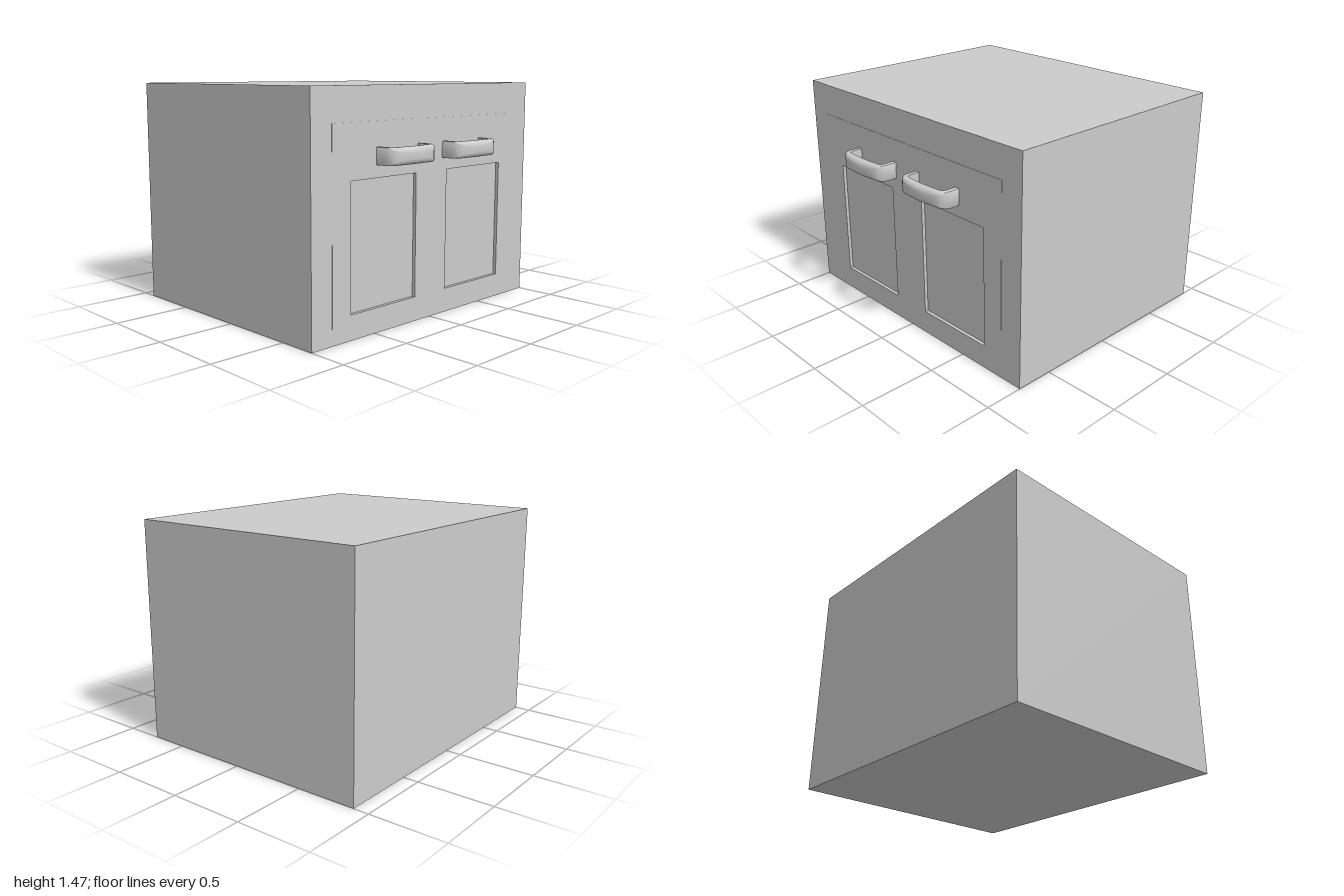
import * as THREE from 'three';
import { toCreasedNormals } from 'three/addons/utils/BufferGeometryUtils.js';

const W = { back: -0.9, recess: 0.728, face: 0.748, door: 0.75, height: 1.465 };
const material = new THREE.MeshStandardMaterial({ color: 0xcccccc });

function rect(Type, u0, u1, v0, v1) {
  return new Type([[u0, v0], [u1, v0], [u1, v1], [u0, v1]].map(p => new THREE.Vector2(...p)));
}

// Sheet facing +x with the two panel openings cut through it
function sheet(name, u, v0, v1, x0, x1) {
  const shape = rect(THREE.Shape, -u, u, v0, v1);
  shape.holes.push(rect(THREE.Path, -0.7, -0.145, 0.155, 0.93), rect(THREE.Path, 0.145, 0.7, 0.155, 0.93));
  const geo = new THREE.ExtrudeGeometry(shape, { depth: x1 - x0, bevelEnabled: false });
  geo.rotateY(Math.PI / 2).translate(x0, 0, 0);
  const mesh = new THREE.Mesh(geo, material);
  mesh.name = name;
  return mesh;
}

// Bow handle: sections swept from one foot to the other, outer edges rounded
function handleGeometry() {
  // inner x, inner z, outer x, outer z, edge radius
  const half = [
    [0.745, 0.167, 0.745, 0.198, 0.001], [0.818, 0.167, 0.822, 0.198, 0.002],
    [0.832, 0.163, 0.848, 0.192, 0.008], [0.843, 0.153, 0.868, 0.18, 0.016],
    [0.848, 0.138, 0.882, 0.158, 0.024], [0.85, 0.11, 0.89, 0.115, 0.03],
    [0.853, 0.05, 0.898, 0.05, 0.034], [0.854, 0, 0.9, 0, 0.035],
  ];
  const stations = [...half, ...half.slice(0, -1).reverse().map(s => [s[0], -s[1], s[2], -s[3], s[4]])];
  const hh = 0.0525, arc = 4, pos = [], idx = [];
  const n = 2 * (arc + 1) + 2;
  for (const [ix, iz, ox, oz, r] of stations) {
    const len = Math.hypot(ox - ix, oz - iz);
    const put = (d, y) => pos.push(ix + (ox - ix) * d / len, y, iz + (oz - iz) * d / len);
    put(0, -hh);
    for (const side of [-1, 1]) {
      for (let k = 0; k <= arc; k++) {
        const a = (side < 0 ? k : arc - k) / arc * Math.PI / 2;
        put(len - r + r * Math.sin(a), side * (hh - r + r * Math.cos(a)));
      }
    }
    put(0, hh);
  }
  for (let s = 0; s < stations.length - 1; s++) {
    for (let k = 0; k < n; k++) {
      const a = s * n + k, b = s * n + (k + 1) % n;
      idx.push(a, a + n, b, b, a + n, b + n);
    }
  }
  const geo = new THREE.BufferGeometry();
  geo.setAttribute('position', new THREE.Float32BufferAttribute(pos, 3));
  geo.setIndex(idx);
  // Keep the winding outward: signed volume must be positive
  let volume = 0;
  const p = i => new THREE.Vector3(pos[3 * i] - 0.8, pos[3 * i + 1], pos[3 * i + 2]);
  for (let i = 0; i < idx.length; i += 3) volume += p(idx[i]).dot(p(idx[i + 1]).cross(p(idx[i + 2])));
  if (volume < 0) geo.setIndex(idx.reverse());
  return toCreasedNormals(geo, 0.7);
}

export function createModel() {
  const model = new THREE.Group();
  model.name = 'cabinet';

  // Body, whose side also forms the backs of the recessed panels
  const body = new THREE.Mesh(new THREE.BoxGeometry(W.recess - W.back, W.height, 2), material);
  body.position.set((W.recess + W.back) / 2, W.height / 2, 0);
  body.name = 'body';
  model.add(body);

  // Face frame and the thin door sheet on it
  model.add(sheet('faceFrame', 1, 0, W.height, W.recess, W.face));
  model.add(sheet('doorSheet', 0.845, 0.1, 1.26, W.face, W.door));

  // Pair of handles
  const geo = handleGeometry();
  for (const side of [1, -1]) {
    const handle = new THREE.Mesh(geo, material);
    handle.position.set(0, 1.058, side * 0.297);
    handle.name = side > 0 ? 'frontHandle' : 'backHandle';
    model.add(handle);
  }
  return model;
}
